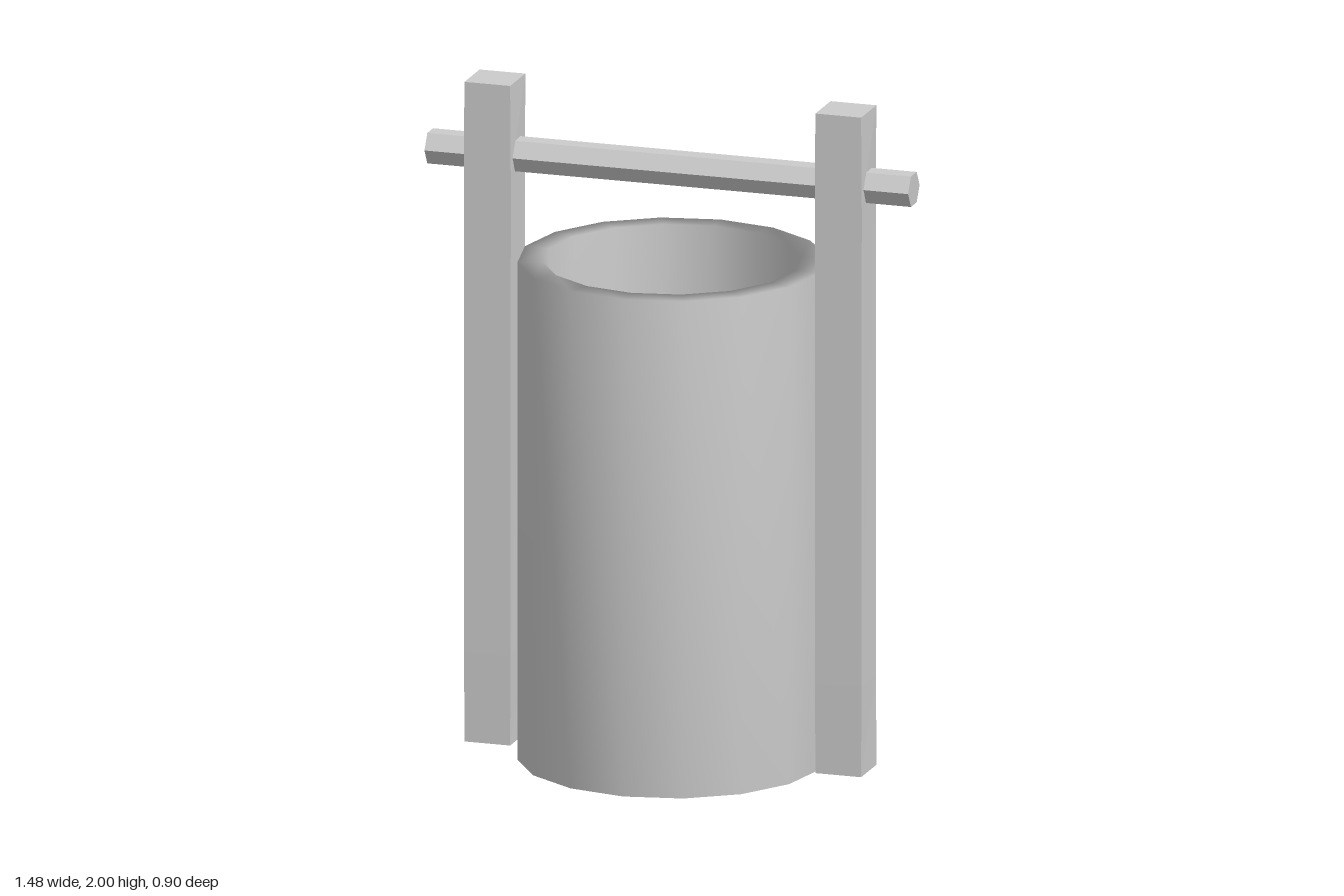
import * as THREE from 'three';
import { mergeVertices } from 'three/addons/utils/BufferGeometryUtils.js';

const smooth = new THREE.MeshStandardMaterial({ color: 0xcccccc });
const faceted = new THREE.MeshStandardMaterial({ color: 0xcccccc, flatShading: true, side: THREE.DoubleSide });

function part(name, geometry, material) {
  const mesh = new THREE.Mesh(geometry, material);
  mesh.name = name;
  return mesh;
}

// Thick-walled open tube with softly shaded rims
function tubeGeometry() {
  const profile = [[0.45, 0], [0.45, 1.5], [0.377, 1.5], [0.377, 0], [0.45, 0]]
    .map(([r, y]) => new THREE.Vector2(r, y));
  let geo = new THREE.LatheGeometry(profile, 16);
  geo.deleteAttribute('normal');
  geo.deleteAttribute('uv');
  geo = mergeVertices(geo, 1e-4);
  geo.computeVertexNormals();
  return geo;
}

// Hand-cut square post: straight ends, slightly skewed and swollen between, hollow below
function postGeometry() {
  const half = 0.07;
  const levels = [0.01, 0.28, 1.72, 2];
  const skew = { '-1,-1': [-0.078, -0.07], '1,-1': [0.065, -0.082], '1,1': [0.072, 0.07], '-1,1': [-0.07, 0.075] };
  const amount = [0, 0.5, 1, 0];
  const geo = new THREE.BoxGeometry(2, 3, 2, 1, 3, 1);
  const pos = geo.attributes.position;
  for (let i = 0; i < pos.count; i++) {
    const sx = Math.sign(pos.getX(i)), sz = Math.sign(pos.getZ(i));
    const level = Math.round(pos.getY(i) + 1.5);
    const [cx, cz] = skew[`${sx},${sz}`];
    pos.setXYZ(i,
      THREE.MathUtils.lerp(sx * half, cx, amount[level]),
      levels[level],
      THREE.MathUtils.lerp(sz * half, cz, amount[level]));
  }
  // Leave the underside open
  const under = geo.groups[3];
  geo.setIndex(Array.from(geo.index.array).filter((_, i) => i < under.start || i >= under.start + under.count));
  geo.clearGroups();
  geo.computeVertexNormals();
  return geo;
}

export function createModel() {
  const model = new THREE.Group();
  model.name = 'bucket';

  model.add(part('bucketWall', tubeGeometry(), smooth));

  const post = postGeometry();
  for (const [name, x] of [['leftPost', 0.532], ['rightPost', -0.542]]) {
    const mesh = part(name, post, faceted);
    mesh.position.x = x;
    model.add(mesh);
  }

  // Hexagonal handle bar through both posts
  const bar = part('handleBar', new THREE.CylinderGeometry(0.053, 0.053, 1.48, 6), faceted);
  bar.rotation.z = Math.PI / 2;
  bar.position.y = 1.777;
  model.add(bar);

  return model;
}
